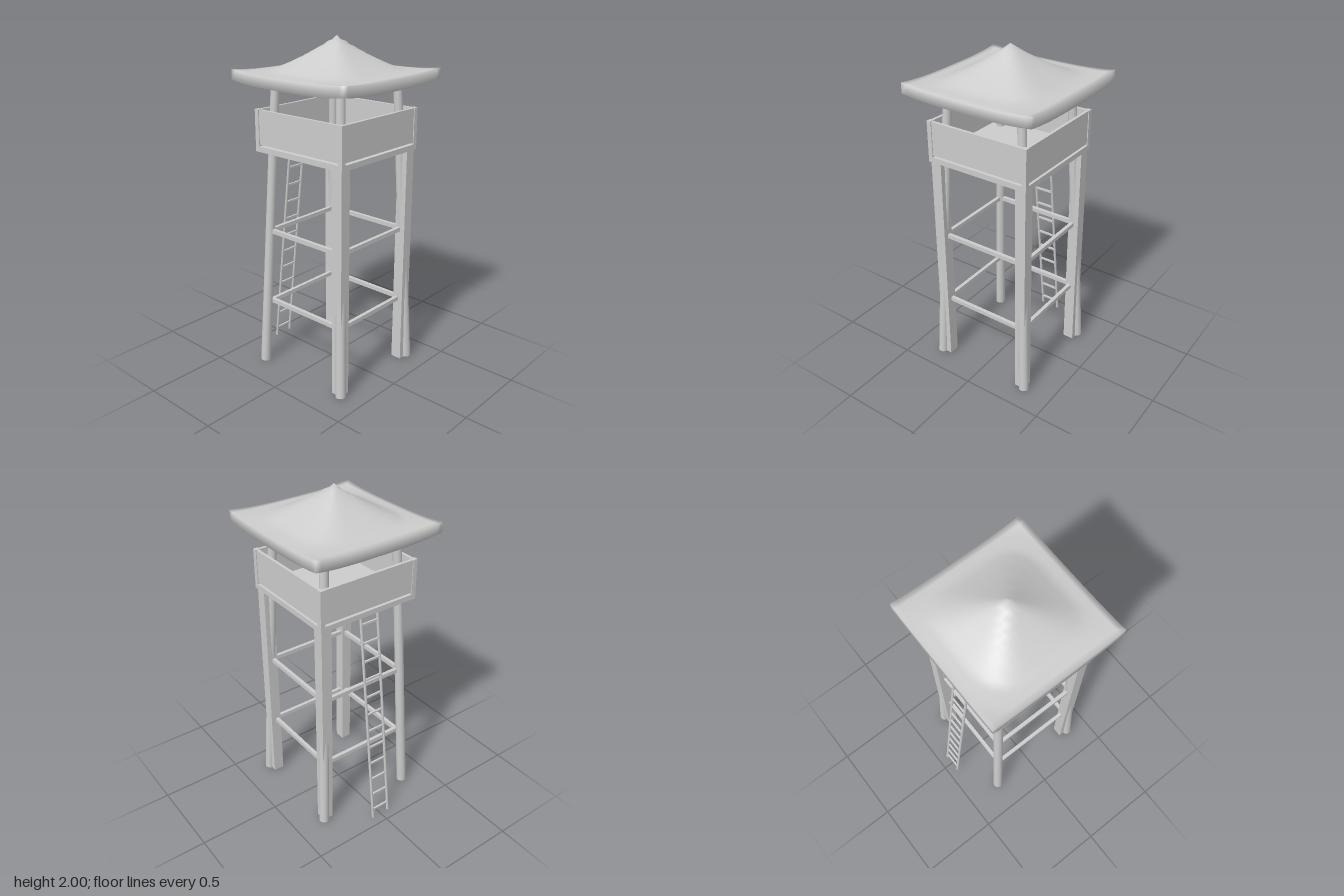
import * as THREE from 'three';
import { mergeVertices } from 'three/addons/utils/BufferGeometryUtils.js';

const material = new THREE.MeshStandardMaterial({ color: 0xcccccc });

function add(parent, name, geometry, x = 0, y = 0, z = 0) {
  const mesh = new THREE.Mesh(geometry, material);
  mesh.name = name;
  mesh.position.set(x, y, z);
  parent.add(mesh);
  return mesh;
}

const box = (parent, name, w, h, d, x, y, z) =>
  add(parent, name, new THREE.BoxGeometry(w, h, d), x, y, z);

// Place a mesh whose length runs along y between two points
function span(mesh, a, b) {
  mesh.position.copy(a).add(b).multiplyScalar(0.5);
  mesh.quaternion.setFromUnitVectors(new THREE.Vector3(0, 1, 0), b.clone().sub(a).normalize());
}

// Height on a piecewise linear profile of [radius, height]
function heightAt(profile, r) {
  for (let i = 1; i < profile.length; i++) {
    const [r0, y0] = profile[i - 1], [r1, y1] = profile[i];
    if (r <= r1) return y0 + (y1 - y0) * (r - r0) / (r1 - r0);
  }
  return profile[profile.length - 1][1];
}

// Square roof shell: concave peak, flat eaves, lifted corners
function roofGeometry() {
  const half = 0.41;
  const top = [[0, 2], [0.07, 1.946], [0.15, 1.893], [0.23, 1.848], [0.31, 1.81], [0.41, 1.8]];
  const under = [[0, 1.93], [0.15, 1.83], [0.25, 1.768], [0.32, 1.748], [0.41, 1.74]];
  let g = new THREE.BoxGeometry(half * 2, 1, half * 2, 24, 1, 24);
  g.deleteAttribute('normal');
  g.deleteAttribute('uv');
  g = mergeVertices(g);
  const p = g.attributes.position;
  for (let i = 0; i < p.count; i++) {
    const x = Math.abs(p.getX(i)), z = Math.abs(p.getZ(i));
    const r = Math.min(half, Math.pow(x ** 4 + z ** 4, 0.25));
    const lift = 0.02 * Math.pow((x * z) / (half * half), 3);
    p.setY(i, heightAt(p.getY(i) > 0 ? top : under, r) + lift);
  }
  g.computeVertexNormals();
  return g;
}

export function createModel() {
  const model = new THREE.Group();
  model.name = 'watchtower';
  const tower = new THREE.Group();
  tower.name = 'tower';
  tower.position.z = 0.04;
  model.add(tower);

  add(tower, 'roof', roofGeometry());

  // Leaning round poles from ground to roof; three corners also have square posts
  for (const sx of [-1, 1]) for (const sz of [-1, 1]) {
    const a = new THREE.Vector3(sx * 0.314, 0.002, sz * 0.314);
    const b = new THREE.Vector3(sx * 0.239, 1.79, sz * 0.239);
    const pole = add(tower, 'leaningPole', new THREE.CylinderGeometry(0.025, 0.03, a.distanceTo(b), 16));
    span(pole, a, b);
    if (sx > 0 || sz > 0) box(tower, 'squarePost', 0.066, 1.355, 0.066, sx * 0.283, 0.6775, sz * 0.283);
    box(tower, 'railingCornerPost', 0.028, 0.212, 0.028, sx * 0.311, 1.491, sz * 0.311);
  }

  // Cross braces on all four sides
  for (const y of [0.412, 0.868]) for (const s of [-1, 1]) {
    box(tower, 'sideBrace', 0.022, 0.025, 0.56, s * 0.275, y, 0);
    box(tower, 'crossBrace', 0.56, 0.025, 0.022, 0, y, s * 0.275);
  }

  // Platform and parapet panels
  box(tower, 'platform', 0.65, 0.032, 0.65, 0, 1.369, 0);
  for (const s of [-1, 1]) {
    box(tower, 'parapetPanel', 0.61, 0.2, 0.018, 0, 1.495, s * 0.311);
    box(tower, 'sideParapetPanel', 0.018, 0.2, 0.61, s * 0.311, 1.495, 0);
  }

  // Ladder leaning on the back of the platform
  const ladder = new THREE.Group();
  ladder.name = 'ladder';
  model.add(ladder);
  const foot = -0.438, head = -0.276, height = 1.36;
  for (const s of [-1, 1]) {
    const a = new THREE.Vector3(s * 0.058, 0.002, foot);
    const b = new THREE.Vector3(s * 0.058, height, head);
    const rail = add(ladder, 'ladderRail', new THREE.CylinderGeometry(0.008, 0.008, a.distanceTo(b), 8));
    span(rail, a, b);
  }
  for (let i = 0; i < 12; i++) {
    const y = 0.06 + i * 0.1136;
    box(ladder, 'ladderRung', 0.11, 0.011, 0.011, 0, y, foot + (head - foot) * y / height);
  }
  return model;
}
